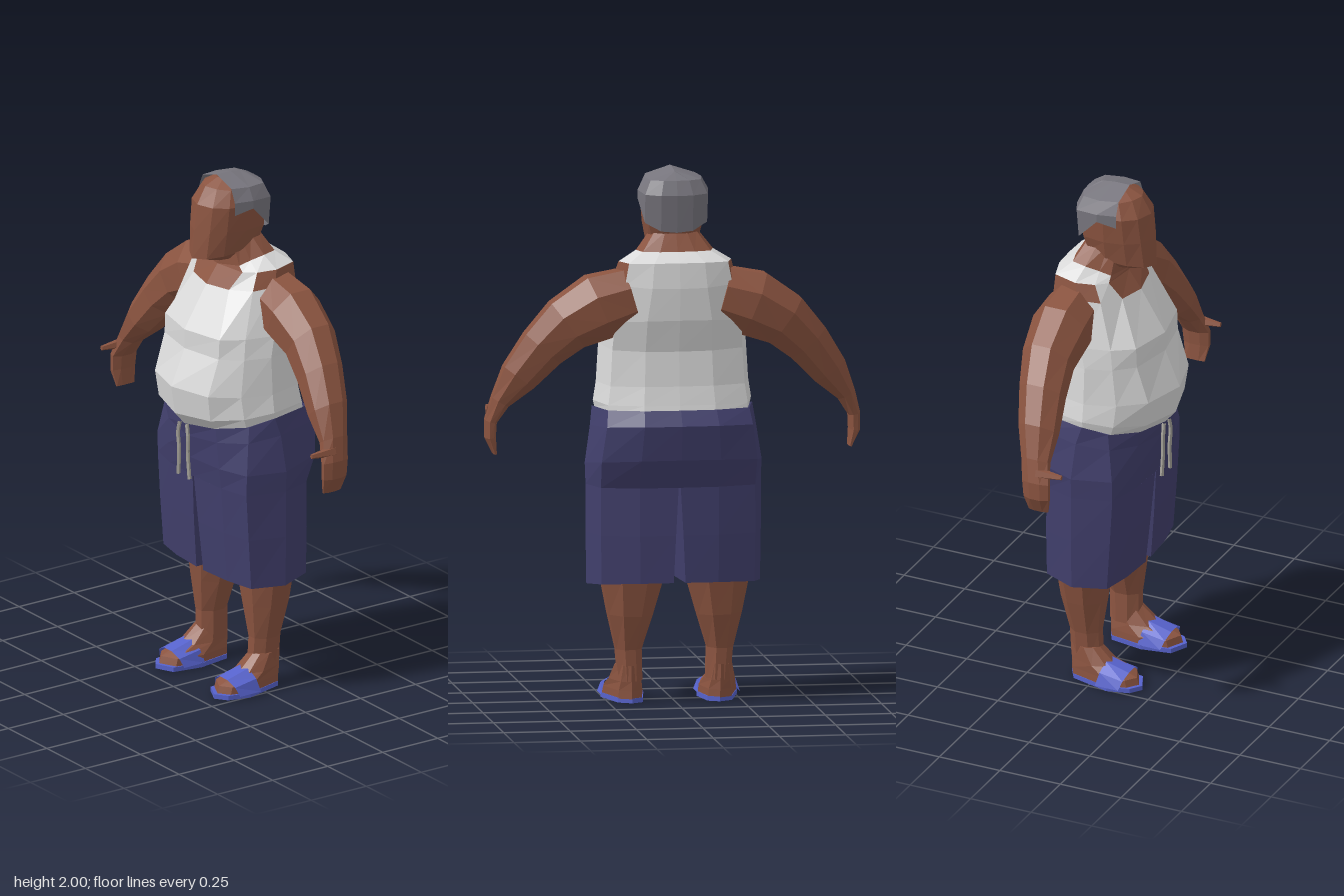
import * as THREE from 'three';

const mat = (name, color, side = THREE.FrontSide) => {
  const m = new THREE.MeshStandardMaterial({ color, side, flatShading: true });
  m.name = name;
  return m;
};

// Half body section, front -> +x side -> back; a lower box value squares the front corner,
// mid sets where the front panel ends
function section(w, zF, zS, zB, yF, yS, yB, box = 1, mid = .5) {
  const point = (fx, fz, fy, z, y) => [w * fx, yS + (y - yS) * fy, zS + (z - zS) * fz];
  return [
    point(0, 1, 1, zF, yF), point(mid, .82 ** box, .75, zF, yF), point(.87, .45 ** box, .4, zF, yF),
    point(1, 0, 0, zF, yF),
    point(.88, .75, .7, zB, yB), point(.45, .97, .95, zB, yB), point(0, 1, 1, zB, yB),
  ];
}

// Full ring from a half section
function sym(half, closed = true) {
  const right = half.map(([x, y, z]) => [-x, y, z]);
  return right.concat(half.slice(closed ? 1 : 0, -1).reverse());
}
// Mirror a ring to the other side, keeping its winding
const flip = (ring) => ring.map(([x, y, z]) => [-x, y, z]).reverse();

// Skin a list of rings; pick(i, j) chooses the material of each quad
function loft(name, rings, mats, { closed = true, caps = true, pick = () => 0 } = {}) {
  const list = [].concat(mats);
  const buckets = list.map(() => []);
  const n = rings[0].length;
  for (let i = 0; i < rings.length - 1; i++) {
    for (let j = 0; j < (closed ? n : n - 1); j++) {
      const k = (j + 1) % n;
      const [a, b, c, d] = [rings[i][j], rings[i][k], rings[i + 1][k], rings[i + 1][j]];
      buckets[pick(i, j)].push(...a, ...d, ...b, ...b, ...d, ...c);
    }
  }
  if (closed && caps) {
    [rings[0], rings[rings.length - 1]].forEach((r, e) => {
      const mid = [0, 1, 2].map((q) => r.reduce((s, p) => s + p[q], 0) / n);
      r.forEach((p, j) => {
        const next = r[(j + 1) % n];
        buckets[0].push(...mid, ...(e ? next : p), ...(e ? p : next));
      });
    });
  }
  const g = new THREE.BufferGeometry();
  g.setAttribute('position', new THREE.Float32BufferAttribute(buckets.flat(), 3));
  let start = 0;
  buckets.forEach((b, i) => {
    g.addGroup(start, b.length / 3, i);
    start += b.length / 3;
  });
  g.computeVertexNormals();
  const mesh = new THREE.Mesh(g, list.length > 1 ? list : list[0]);
  mesh.name = name;
  return mesh;
}

// Limb rings across a path in the x-y plane: [x, y, z, radius, depth radius]
function limb(path, sides = 8) {
  return path.map(([x, y, z, r, rz], i) => {
    const a = path[Math.max(i - 1, 0)], b = path[Math.min(i + 1, path.length - 1)];
    const d = new THREE.Vector2(b[0] - a[0], b[1] - a[1]).normalize();
    return Array.from({ length: sides }, (_, j) => {
      const t = ((j + 0.5) / sides) * Math.PI * 2;
      const u = r * Math.cos(t) * 1.06;
      return [x + d.y * u, y - d.x * u, z + rz * Math.sin(t) * 1.06];
    });
  });
}

export function createModel() {
  const skin = mat('skin', 0x8b5440);
  const shirt = mat('shirt white', 0xdadada);
  const navy = mat('shorts navy', 0x413f6c, THREE.DoubleSide);
  const blue = mat('sandal blue', 0x5662cc, THREE.DoubleSide);
  const grey = mat('hair grey', 0x77757d, THREE.DoubleSide);
  const cord = mat('cord grey', 0xa5a29a);
  const model = new THREE.Group();
  model.name = 'man';

  // Torso with tank top; scoop neck and arm openings are skin
  const collar = section(.145, .05, -.06, -.14, 1.655, 1.7, 1.7, 1, .78);
  const chest = [
    section(.292, .2, 0, -.21, 1.04, 1.105, 1.09, .9),
    section(.298, .243, 0, -.2, 1.09, 1.13, 1.13, 1, .56),
    section(.287, .26, 0, -.185, 1.2, 1.2, 1.2, 1, .6),
    section(.278, .2, 0, -.175, 1.34, 1.345, 1.33, .9, .63),
    section(.27, .2, -.02, -.2, 1.415, 1.425, 1.45, .9, .65),
    section(.23, .1, -.05, -.205, 1.575, 1.6, 1.57, .8),
    section(.212, .05, -.07, -.195, 1.645, 1.66, 1.665, .7, .66),
    collar,
  ];
  model.add(loft('torso', chest.map((h) => sym(h)), [shirt, skin], {
    caps: false,
    pick: (i, j) => {
      const s = Math.min(j, 11 - j);
      const neckline = i >= 5 && s === 0;
      const armhole = i === 5 && (s === 2 || s === 3);
      return neckline || armhole ? 1 : 0;
    },
  }));

  // Neck, from the collar into the head
  const neckTop = collar.map(([x, , z]) => [x * .62, 1.77, -.03 + (z + .05) * .8]);
  model.add(loft('neck', [collar, neckTop].map((h) => sym(h)), skin));

  // Head, chin to crown
  const head = [
    section(.07, .08, 0, -.085, 1.665, 1.69, 1.71),
    section(.098, .165, 0, -.1, 1.69, 1.715, 1.75, .9, .56),
    section(.114, .155, 0, -.12, 1.8, 1.8, 1.8, .9, .56),
    section(.122, .142, 0, -.13, 1.9, 1.9, 1.9, .9, .56),
    section(.096, .105, 0, -.105, 1.965, 1.955, 1.95),
    section(.045, .05, 0, -.06, 1.99, 1.985, 1.975),
  ];
  model.add(loft('head', head.map((h) => sym(h)), skin));

  // Hair shell with sideburns, open at the face
  const hair = [
    section(.133, .14, -.02, -.128, 1.84, 1.89, 1.77),
    section(.133, .14, -.02, -.14, 1.92, 1.92, 1.91),
    section(.107, .14, -.02, -.117, 1.975, 1.967, 1.964),
    section(0, .13, -.01, -.065, 2, 2, 1.992),
  ].map((h) => sym(h.slice(2), false));
  model.add(loft('hair', hair, grey, { closed: false }));

  // Shorts: hips
  const crotch = section(.33, .16, -.03, -.19, .82, .82, .82, .3);
  const hips = [
    crotch,
    section(.333, .175, -.03, -.24, .9, .9, .93, .4),
    section(.312, .19, -.02, -.26, .99, 1.04, 1.06, .7),
    section(.302, .2, 0, -.222, 1.04, 1.11, 1.115),
  ];
  model.add(loft('shortsHips', hips.map((h) => sym(h)), navy, { caps: false }));

  // Shorts: one leg from hem to crotch, kept off the centre line
  const inset = (half, gap) => half.map(([x, y, z]) => [Math.max(x, gap), y, z]).reverse();
  const shortLeg = [
    inset(section(.327, .13, -.03, -.19, .445, .445, .462, .3), .022),
    inset(section(.33, .147, -.03, -.193, .64, .64, .64, .3), .014),
    inset(crotch, .004),
  ];

  const arm = limb([
    [.17, 1.53, -.09, .11, .1], [.29, 1.495, -.09, .125, .108], [.41, 1.43, -.085, .105, .095],
    [.5, 1.34, -.065, .087, .085], [.585, 1.23, -.04, .07, .075], [.652, 1.135, -.02, .036, .055],
    [.684, 1.06, -.003, .022, .055], [.685, 1, 0, .02, .052], [.668, .938, 0, .007, .04],
  ]);
  const leg = limb([
    [.165, .08, -.04, .045, .06], [.172, .2, -.043, .049, .06],
    [.168, .33, -.052, .084, .084], [.162, .47, -.055, .118, .102],
  ]);

  // Foot outline as [x, z], scaled about the heel for each layer
  const outline = [[.19, .198], [.235, .165], [.257, .08], [.215, -.075], [.165, -.105], [.122, -.08], [.1, .05], [.12, .165]];
  const layer = (y, s, k) => outline.map(([x, z]) => [.175 + (x - .175) * s, y, -.105 + (z + .105) * k]).reverse();
  const foot = [layer(.015, .94, .95), layer(.045, .92, .92), layer(.08, .76, .62), layer(.14, .56, .4)];
  const sole = [layer(0, 1, 1), layer(.018, 1, 1)];
  const arch = (z, h) => Array.from({ length: 6 }, (_, i) => {
    const t = Math.PI * (1 - i / 5);
    return [.181 + .081 * Math.cos(t), .015 + h * Math.sin(t), z + .02 * Math.sin(t)];
  });
  const strap = [arch(.035, .084), arch(.13, .056)];

  // Paired parts
  for (const side of [1, -1]) {
    const tag = side > 0 ? 'left' : 'right';
    const put = (part, rings, m, opts) =>
      model.add(loft(tag + part, side > 0 ? rings : rings.map(flip), m, opts));
    put('Arm', arm, skin);
    put('Leg', leg, skin);
    put('ShortsLeg', shortLeg, navy);
    put('Foot', foot, skin);
    put('SandalSole', sole, blue);
    put('SandalStrap', strap, blue, { closed: false });

    const thumb = new THREE.Mesh(new THREE.CylinderGeometry(.009, .022, .1, 5), skin);
    thumb.name = tag + 'Thumb';
    thumb.rotation.x = Math.PI / 2;
    thumb.position.set(side * .68, 1.1, .05);
    model.add(thumb);

    // Drawstring
    const path = new THREE.CatmullRomCurve3([
      [.022, 1.045, .205], [.032, 1, .207], [.028, .93, .205], [.036, .83, .203],
    ].map(([x, y, z]) => new THREE.Vector3(side * x, y, z)));
    const string = new THREE.Mesh(new THREE.TubeGeometry(path, 10, .008, 5), cord);
    string.name = tag + 'Drawstring';
    model.add(string);
  }
  return model;
}
